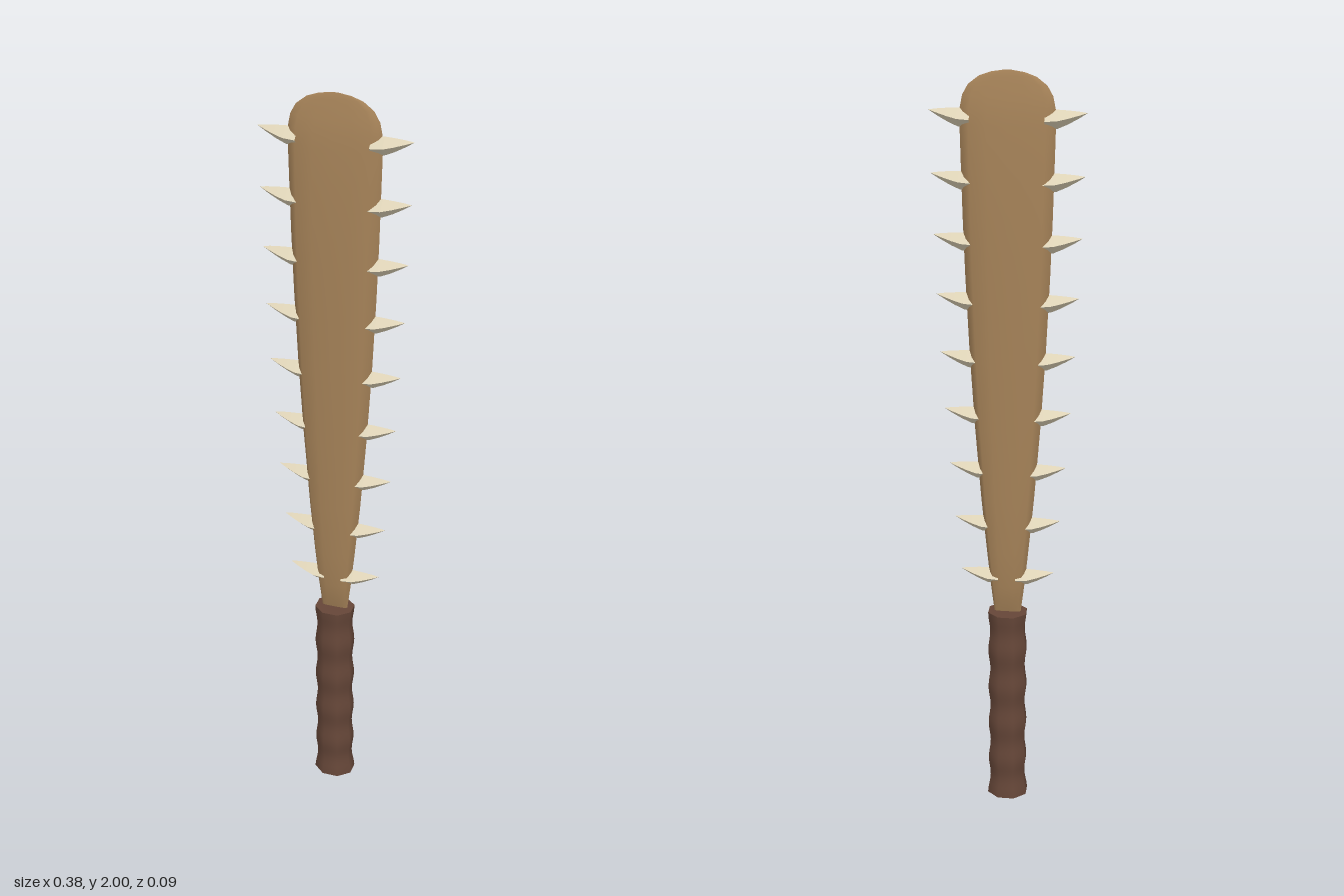
import * as THREE from 'three';

const woodMat = new THREE.MeshStandardMaterial({ color: 0xa58258 });
const gripMat = new THREE.MeshStandardMaterial({ color: 0x654638 });
const spikeMat = new THREE.MeshStandardMaterial({ color: 0xddd2b6, flatShading: true });

// Blade stations: height, half width, half thickness
const STATIONS = [
  [0.56, 0.034, 0.002], [0.6, 0.039, 0.013], [0.65, 0.045, 0.021], [0.75, 0.055, 0.029],
  [0.9, 0.069, 0.033], [1.1, 0.084, 0.035], [1.3, 0.096, 0.036], [1.5, 0.105, 0.035],
  [1.65, 0.11, 0.033], [1.78, 0.113, 0.029], [1.87, 0.115, 0.023], [1.91, 0.114, 0.019],
  [1.94, 0.108, 0.014], [1.965, 0.094, 0.009], [1.985, 0.068, 0.005], [1.995, 0.04, 0.002], [2, 0.008, 0],
];
// Half cross-section as fractions of half width and half thickness
const SECTION = [[1, 0], [0.93, 0.4], [0.8, 0.8], [0.42, 0.98], [0, 1], [-0.42, 0.98], [-0.8, 0.8], [-0.93, 0.4], [-1, 0]];

function widthAt(y) {
  const i = STATIONS.findIndex((s) => s[0] >= y);
  const [a, b] = [STATIONS[i - 1], STATIONS[i]];
  return THREE.MathUtils.lerp(a[1], b[1], (y - a[0]) / (b[0] - a[0]));
}

// Skin a list of equally long vertex rows
function loft(rows, closed) {
  const n = rows[0].length, index = [];
  const cols = closed ? n : n - 1;
  for (let i = 0; i < rows.length - 1; i++) {
    for (let j = 0; j < cols; j++) {
      const k = (j + 1) % n;
      const a = i * n + j, b = i * n + k, c = a + n, d = b + n;
      index.push(a, c, b, b, c, d);
    }
  }
  const geo = new THREE.BufferGeometry();
  geo.setAttribute('position', new THREE.Float32BufferAttribute(rows.flat(2), 3));
  geo.setIndex(index);
  geo.computeVertexNormals();
  return geo;
}

function named(geo, mat, name) {
  const mesh = new THREE.Mesh(geo, mat);
  mesh.name = name;
  return mesh;
}

function makeGrip() {
  const grip = new THREE.Group();
  grip.name = 'grip';
  const height = 0.57, steps = 40, profile = [];
  // Scalloped finger rings with a flared foot
  const radius = (y) => 0.0515 + 0.0028 * Math.cos((y / height) * Math.PI * 10) + 0.003 * Math.max(0, 1 - y / 0.07);
  for (let i = 0; i <= steps; i++) {
    const y = (height * i) / steps;
    profile.push(new THREE.Vector2(radius(y), y));
  }
  grip.add(named(new THREE.LatheGeometry(profile, 8, Math.PI / 8), gripMat, 'gripWrap'));
  for (const [y, turn, name] of [[0, 1, 'gripBottom'], [height, -1, 'gripTop']]) {
    const cap = named(new THREE.CircleGeometry(radius(y), 8, Math.PI / 8), gripMat, name);
    cap.rotation.x = (turn * Math.PI) / 2;
    cap.position.y = y;
    grip.add(cap);
  }
  grip.scale.z = 0.86;
  return grip;
}

function makeSpikeGeometry() {
  // Four-sided tooth along +x, bulging, with its tip curved upward
  const stations = [[-0.025, -0.007, 0.026], [0.005, -0.005, 0.025], [0.03, 0.0, 0.018], [0.055, 0.006, 0.009], [0.075, 0.011, 0.0002]];
  const rows = stations.map(([x, y, r]) =>
    [0, 1, 2, 3].map((k) => {
      const a = (k * Math.PI) / 2;
      return [x, y + r * 0.9 * Math.sin(a), r * Math.cos(a)];
    }));
  return loft(rows, true);
}

export function createModel() {
  const model = new THREE.Group();
  model.name = 'spikedClub';

  // Flat tapered board, front and back halves meeting in a sharp edge
  const rows = STATIONS.map(([y, w, d]) => SECTION.map(([u, v]) => [u * w, y, v * d]));
  const halfGeo = loft(rows, false);
  const front = named(halfGeo, woodMat, 'bladeFront');
  const back = named(halfGeo, woodMat, 'bladeBack');
  back.rotation.y = Math.PI;
  model.add(front, back, makeGrip());

  // Nine spikes along each edge
  const spikeGeo = makeSpikeGeometry();
  for (let i = 0; i < 9; i++) {
    const y = 0.68 + i * 0.1515;
    for (const side of [1, -1]) {
      const spike = named(spikeGeo, spikeMat, side > 0 ? 'leftSpike' : 'rightSpike');
      spike.position.set(side * widthAt(y), y, 0);
      if (side < 0) spike.rotation.y = Math.PI;
      model.add(spike);
    }
  }
  return model;
}
